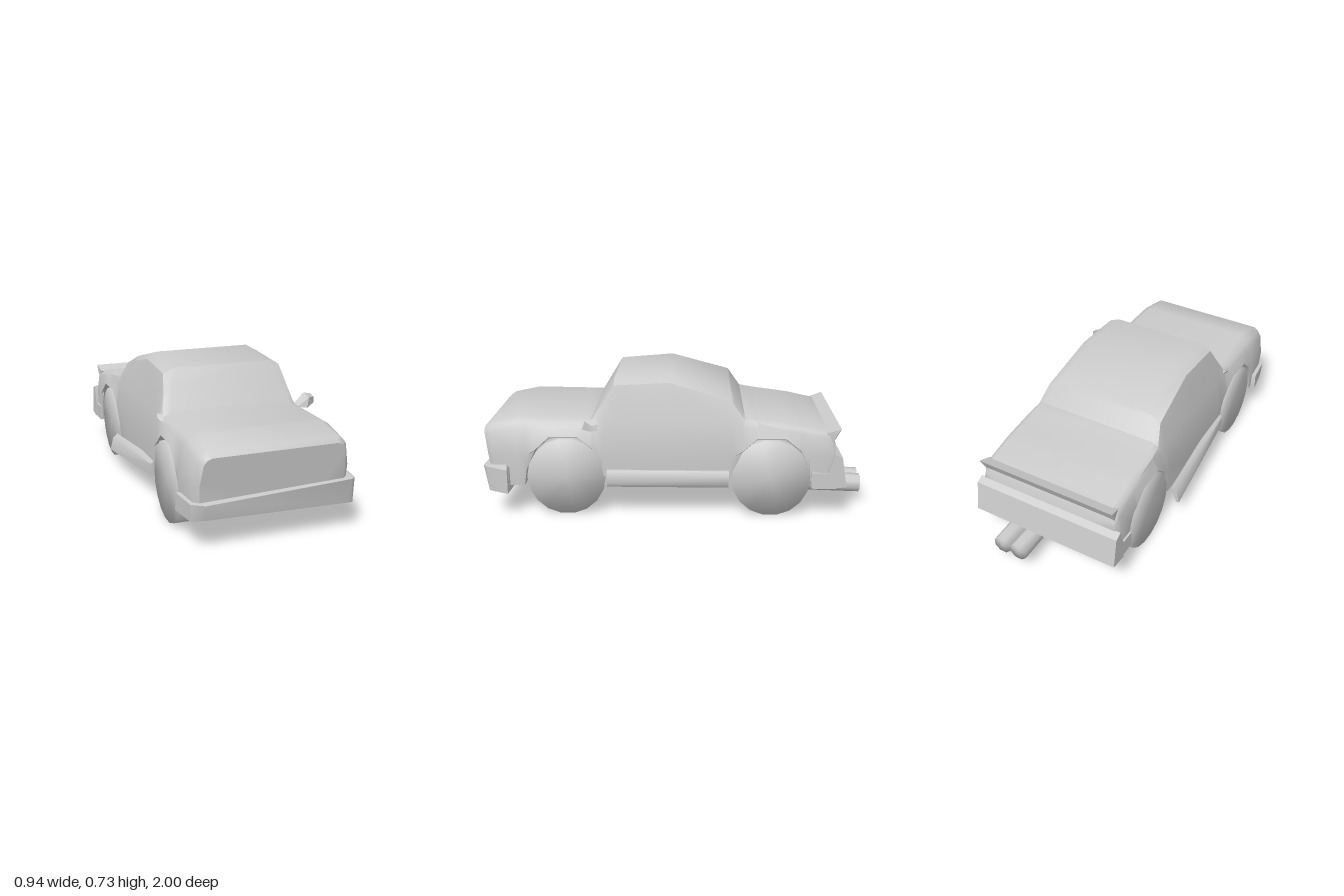
import * as THREE from 'three';
import { mergeVertices, toCreasedNormals } from 'three/addons/utils/BufferGeometryUtils.js';
import { ConvexGeometry } from 'three/addons/geometries/ConvexGeometry.js';

const CX = -0.017; // the shell sits slightly off centre
const material = new THREE.MeshStandardMaterial({ color: 0xcccccc, side: THREE.DoubleSide });

// Shell keys: z, side half-width, belt y/half-width, shoulder y/half-width, top y/half-width
const KEYS = [
  [1.0, 0.365, 0.43, 0.35, 0.45, 0.335, 0.46, 0.31],
  [0.965, 0.39, 0.44, 0.37, 0.465, 0.352, 0.485, 0.325],
  [0.82, 0.402, 0.46, 0.378, 0.495, 0.355, 0.52, 0.31],
  [0.44, 0.392, 0.48, 0.37, 0.495, 0.357, 0.51, 0.325],
  [0.32, 0.392, 0.49, 0.37, 0.685, 0.318, 0.71, 0.26],
  [0.03, 0.392, 0.49, 0.37, 0.70, 0.316, 0.735, 0.255],
  [-0.29, 0.394, 0.49, 0.375, 0.61, 0.335, 0.645, 0.275],
  [-0.36, 0.395, 0.48, 0.377, 0.515, 0.362, 0.535, 0.335],
  [-0.43, 0.398, 0.475, 0.38, 0.505, 0.37, 0.52, 0.34],
  [-0.64, 0.402, 0.455, 0.386, 0.475, 0.375, 0.49, 0.35],
  [-0.8, 0.40, 0.42, 0.386, 0.44, 0.375, 0.455, 0.35],
  [-0.83, 0.39, 0.37, 0.38, 0.39, 0.37, 0.40, 0.345],
];
const FLOOR = 0.16;
// Wheel arch outline: z offset from the axle, lower edge height
const ARCH = [[0.21, FLOOR], [0.195, 0.25], [0.15, 0.35], [0.075, 0.42],
  [-0.075, 0.42], [-0.15, 0.36], [-0.195, 0.27], [-0.21, FLOOR]];
const AXLES = [0.58, -0.5];

// Interpolate rows sorted by falling first value
function sample(rows, z) {
  if (z >= rows[0][0]) return rows[0];
  for (let i = 1; i < rows.length; i++) {
    const a = rows[i - 1], b = rows[i];
    if (z >= b[0]) {
      const t = (a[0] - z) / (a[0] - b[0]);
      return a.map((v, k) => v + (b[k] - v) * t);
    }
  }
  return rows[rows.length - 1];
}

// Closed body loft with arches cut into the lower sides
function bodyGeometry() {
  const lower = AXLES.flatMap((c) => ARCH.map(([dz, y]) => [c + dz, y]));
  const stations = [...KEYS, ...lower].map((r) => r[0]).sort((a, b) => b - a)
    .filter((z, i, all) => i === 0 || all[i - 1] - z > 0.001);
  const pos = [], idx = [];
  let n = 0;
  for (const z of stations) {
    const [, w, by, bw, sy, sw, ty, tw] = sample(KEYS, z);
    const low = sample(lower, z)[1];
    const half = [[0.2, FLOOR], [0.2, low], [w - 0.008, low],
      [w, Math.min(Math.max(0.33, low + 0.005), by)], [bw, Math.max(by, low + 0.01)], [sw, sy], [tw, ty]];
    const ring = [...half, ...half.map(([x, y]) => [-x, y]).reverse()];
    n = ring.length;
    // The nose leans back towards its foot
    const lean = Math.max(0, (z - 0.9) / 0.1) * 0.15;
    for (const [x, y] of ring) pos.push(CX + x, y, z - lean * (0.46 - y));
  }
  const last = (stations.length - 1) * n;
  for (let s = 0; s < last; s += n) {
    for (let i = 0; i < n; i++) {
      const j = (i + 1) % n;
      idx.push(s + i, s + n + i, s + j, s + j, s + n + i, s + n + j);
    }
  }
  for (let i = 1; i < n - 1; i++) {
    idx.push(0, i, i + 1, last, last + i + 1, last + i);
  }
  const g = new THREE.BufferGeometry();
  g.setAttribute('position', new THREE.Float32BufferAttribute(pos, 3));
  g.setIndex(idx);
  return toCreasedNormals(g, 0.7);
}

// Faceted solid around a handful of corner points
function hull(points) {
  const g = new ConvexGeometry(points.map((p) => new THREE.Vector3(...p)));
  return toCreasedNormals(g, 0.7);
}

// Cylinder with shading that rolls over its rims
function softCylinder(r, length, sides) {
  const g = new THREE.CylinderGeometry(r, r, length, sides);
  g.deleteAttribute('normal');
  g.deleteAttribute('uv');
  const m = mergeVertices(g, 1e-4);
  m.computeVertexNormals();
  return m;
}

export function createModel() {
  const car = new THREE.Group();
  car.name = 'car';
  const add = (name, geometry) => {
    const mesh = new THREE.Mesh(geometry, material);
    mesh.name = name;
    car.add(mesh);
    return mesh;
  };

  add('bodyShell', bodyGeometry());

  // Wheels
  const wheel = softCylinder(0.206, 0.143, 18).rotateZ(Math.PI / 2);
  AXLES.forEach((z, i) => {
    for (const side of [-1, 1]) {
      const name = (i ? 'rear' : 'front') + (side > 0 ? 'Left' : 'Right') + 'Wheel';
      add(name, wheel).position.set(CX + side * 0.315, 0.207, i ? z : z - 0.01);
    }
  });

  // Front bumper, hanging crooked
  add('frontBumper', hull([
    [-0.35, 0.16, 0.98], [-0.36, 0.24, 1.0], [0.37, 0.145, 0.98], [0.375, 0.272, 1.0],
    [-0.415, 0.155, 0.96], [-0.42, 0.242, 0.965], [-0.44, 0.158, 0.81], [-0.438, 0.245, 0.81],
    [0.40, 0.14, 0.97], [0.40, 0.272, 0.98], [0.428, 0.13, 0.87], [0.428, 0.26, 0.87], [0.385, 0.275, 0.88],
  ]));

  // Rear bumper with lower wings reaching towards the arches
  const rear = [[0.35, -0.825], [0.33, -0.865], [0.17, -0.892], [0.16, -0.8], [0.25, -0.795]];
  add('rearBumper', hull(rear.flatMap(([y, z]) => [-0.43, 0.39].map((x) => [x, y, z]))));
  for (const side of [-1, 1]) {
    add('rearBumperWing', new THREE.BoxGeometry(0.03, 0.085, 0.13))
      .position.set(CX + side * 0.392, 0.203, -0.775);
  }

  // Lip spoiler on the boot edge
  add('spoiler', hull([[0.452, -0.78, 0.375], [0.478, -0.855, 0.385], [0.445, -0.832, 0.385], [0.4, -0.815, 0.375]]
    .flatMap(([y, z, w]) => [-w, w].map((x) => [CX + x, y, z]))));

  // Side skirts: one fitted, one hanging loose at the back
  add('leftSkirt', hull([0.355, -0.28].flatMap((z) =>
    [[0.36, 0.16], [0.385, 0.16], [0.398, 0.18], [0.398, 0.225], [0.385, 0.25], [0.36, 0.25]]
      .map(([x, y]) => [x, y, z]))));
  add('rightSkirt', hull([
    [-0.39, 0.16, 0.36], [-0.42, 0.165, 0.36], [-0.42, 0.23, 0.36], [-0.39, 0.25, 0.36],
    [-0.455, 0.105, -0.28], [-0.472, 0.108, -0.28], [-0.455, 0.175, -0.28], [-0.43, 0.2, -0.28], [-0.42, 0.19, -0.28],
  ]));

  // Twin exhaust pipes
  const pipe = softCylinder(0.05, 0.325, 8).rotateY(Math.PI / 8).rotateX(Math.PI / 2 - 0.03);
  for (const x of [0.064, 0.16]) add('exhaustPipe', pipe).position.set(x, 0.118, -0.836);

  // Surviving door mirror and the stub of the missing one
  add('leftMirror', hull([
    [0.345, 0.485, 0.47], [0.345, 0.495, 0.43], [0.40, 0.475, 0.475], [0.385, 0.502, 0.43],
    [0.41, 0.54, 0.405], [0.415, 0.525, 0.46], [0.462, 0.525, 0.385], [0.465, 0.515, 0.415],
    [0.47, 0.49, 0.39], [0.465, 0.485, 0.42], [0.41, 0.475, 0.44],
  ]));
  add('rightMirrorStub', hull([
    [-0.37, 0.48, 0.47], [-0.37, 0.51, 0.42], [-0.39, 0.48, 0.46],
    [-0.405, 0.495, 0.44], [-0.402, 0.51, 0.42], [-0.37, 0.48, 0.41],
  ]));

  return car;
}
